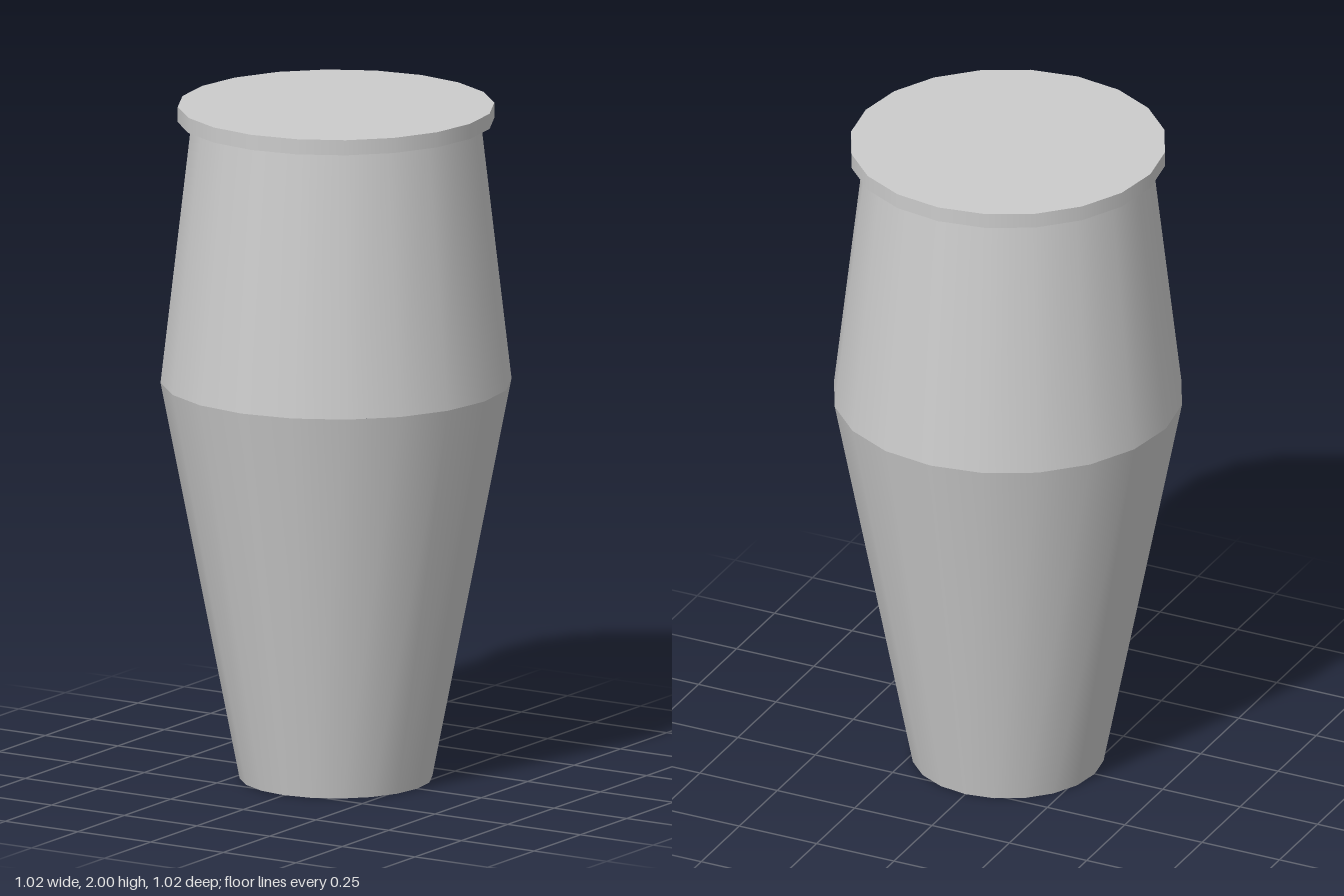
import * as THREE from 'three';

const SIDES = 20;

export function createModel() {
  const model = new THREE.Group();
  const material = new THREE.MeshStandardMaterial({ color: 0xcccccc });

  // Adds one tapered ring section between two heights
  function addSection(name, bottomRadius, topRadius, y0, y1, open) {
    const geometry = new THREE.CylinderGeometry(topRadius, bottomRadius, y1 - y0, SIDES, 1, open);
    const mesh = new THREE.Mesh(geometry, material);
    mesh.name = name;
    mesh.position.y = (y0 + y1) / 2;
    model.add(mesh);
  }

  // Body: lower cone widening to the shoulder, then narrowing to the neck
  addSection('lowerBody', 0.28, 0.51, 0, 1.18, true);
  addSection('upperBody', 0.51, 0.42, 1.18, 1.955, true);

  // Flat base facing down
  const base = new THREE.Mesh(new THREE.CircleGeometry(0.28, SIDES), material);
  base.name = 'base';
  base.rotation.x = Math.PI / 2;
  model.add(base);

  // Overhanging lid
  addSection('lid', 0.46, 0.46, 1.955, 2, false);

  return model;
}
